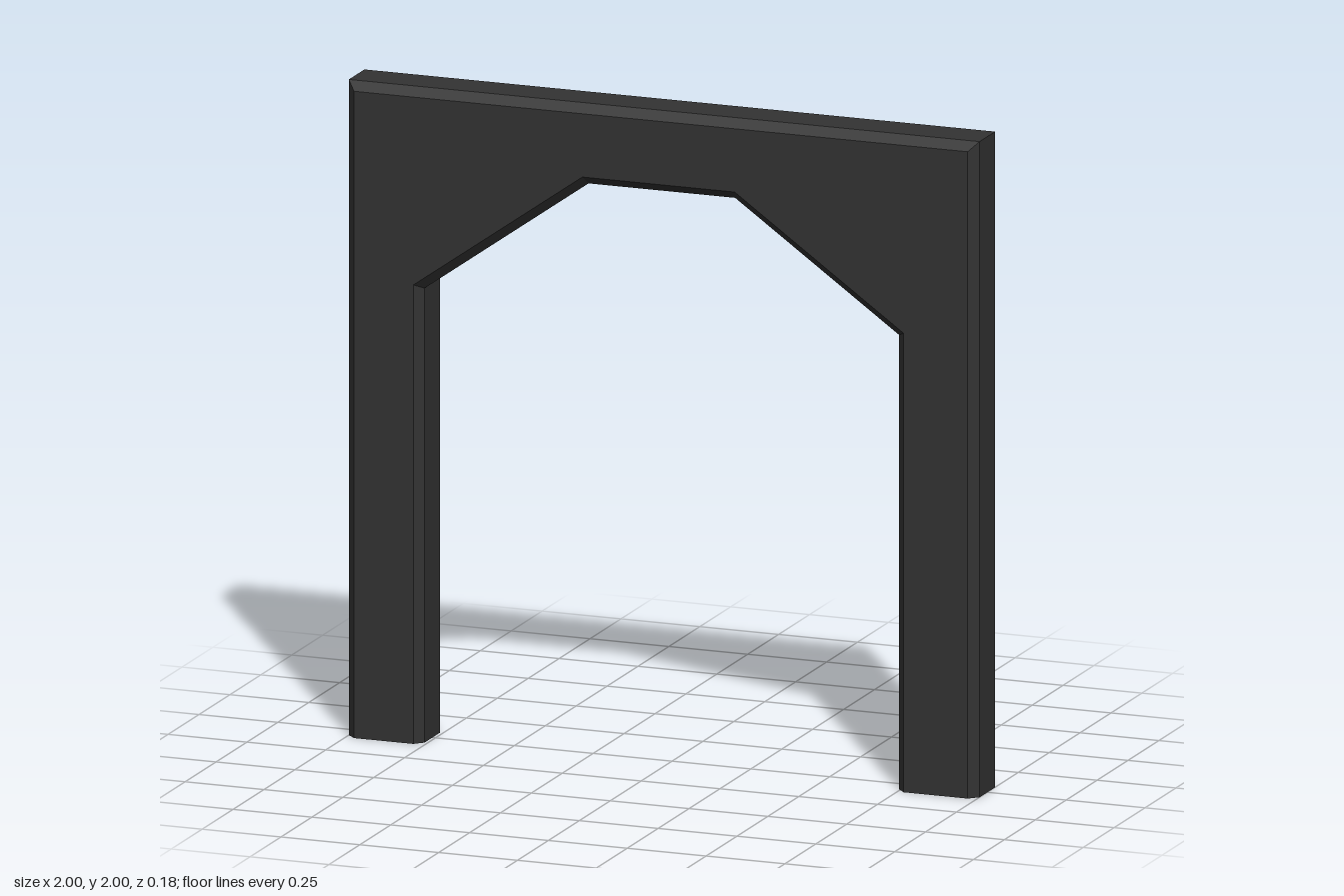
import * as THREE from 'three';

// Arch outlines, counter-clockwise from the front; the legs are open underneath
const rim = [[1, 0], [1, 2], [-1, 2], [-1, 0],
  [-0.76, 0], [-0.76, 1.386], [-0.24, 1.755], [0.225, 1.755], [0.745, 1.386], [0.745, 0]];
const face = [[0.973, 0], [0.973, 1.973], [-0.973, 1.973], [-0.973, 0],
  [-0.785, 0], [-0.785, 1.4], [-0.249, 1.78], [0.234, 1.78], [0.77, 1.4], [0.77, 0]];
const FACE_Z = 0.09;
const RIM_Z = 0.063;

// Flat strips joining two outlines, skipping the undersides of the legs
function strips(front, frontZ, back, backZ) {
  const positions = [];
  for (let i = 0; i < front.length - 1; i++) {
    if (i === 3) continue;
    const af = [...front[i], frontZ], bf = [...front[i + 1], frontZ];
    const ab = [...back[i], backZ], bb = [...back[i + 1], backZ];
    positions.push(...af, ...ab, ...bb, ...af, ...bb, ...bf);
  }
  const geometry = new THREE.BufferGeometry();
  geometry.setAttribute('position', new THREE.Float32BufferAttribute(positions, 3));
  geometry.computeVertexNormals();
  return geometry;
}

export function createModel() {
  const group = new THREE.Group();
  group.name = 'archway';
  const charcoal = new THREE.MeshStandardMaterial({ color: 0x333333, side: THREE.DoubleSide });
  charcoal.name = 'charcoal';

  const add = (name, geometry) => {
    const mesh = new THREE.Mesh(geometry, charcoal);
    mesh.name = name;
    group.add(mesh);
    return mesh;
  };

  // Flat front and back panels
  const panel = new THREE.ShapeGeometry(new THREE.Shape(face.map(([x, y]) => new THREE.Vector2(x, y))));
  add('frontPanel', panel).position.z = FACE_Z;
  const backPanel = panel.clone();
  const index = backPanel.index;
  for (let i = 0; i < index.count; i += 3) {
    const b = index.getX(i + 1);
    index.setX(i + 1, index.getX(i + 2));
    index.setX(i + 2, b);
  }
  backPanel.computeVertexNormals();
  add('backPanel', backPanel).position.z = -FACE_Z;

  // Chamfers and the walls between them
  add('frontChamfer', strips(face, FACE_Z, rim, RIM_Z));
  add('edgeWalls', strips(rim, RIM_Z, rim, -RIM_Z));
  add('backChamfer', strips(rim, -RIM_Z, face, -FACE_Z));

  return group;
}
